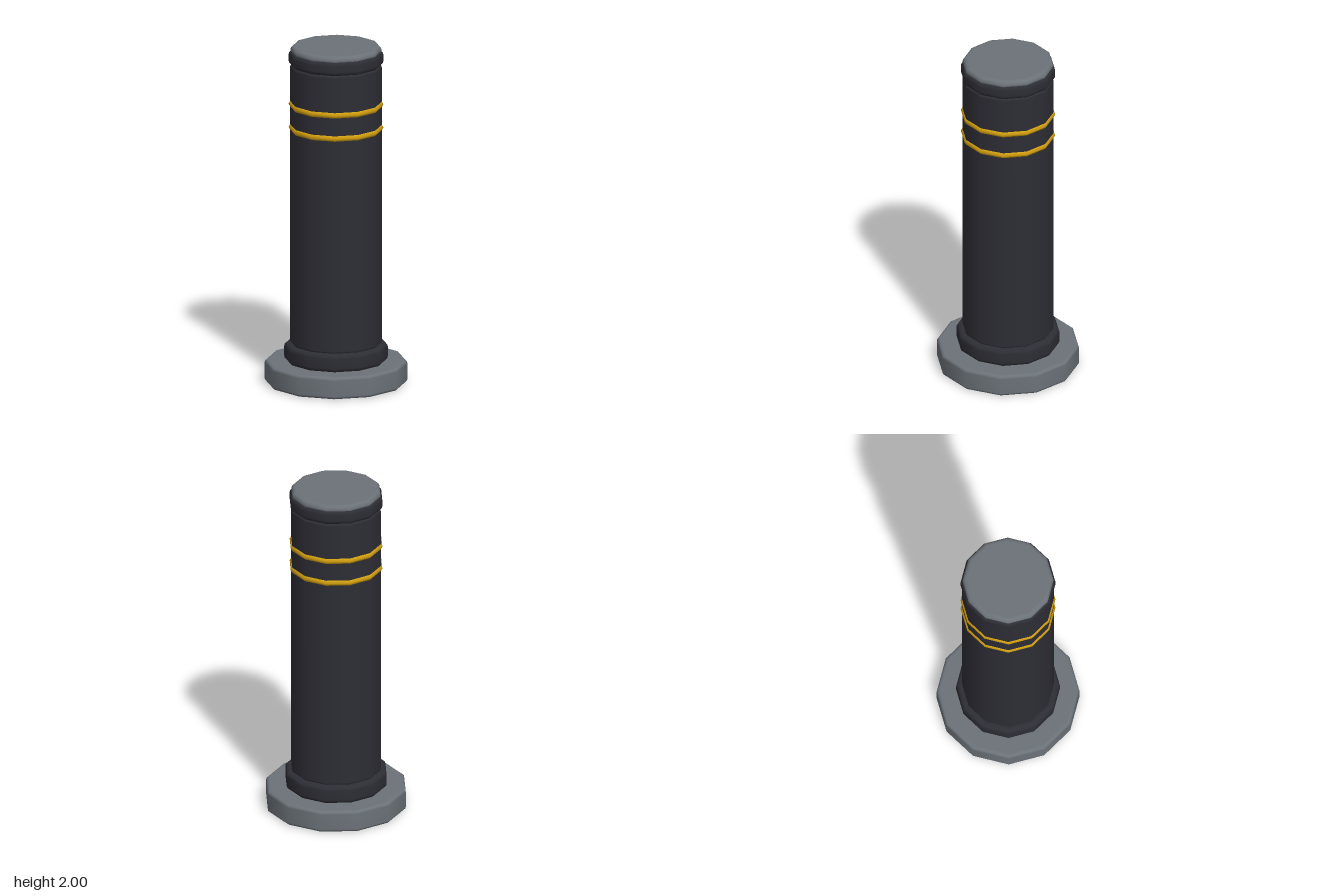
import * as THREE from 'three';

const SIDES = 12;

// Profile of a disc with rounded rims, closed at both ends
function roundedProfile(radius, y0, y1, bevel) {
  const points = [new THREE.Vector2(0, y0), new THREE.Vector2(radius - bevel * 1.3, y0)];
  const steps = 3;
  for (const [cy, start] of [[y0 + bevel, -Math.PI / 2], [y1 - bevel, 0]]) {
    for (let i = 0; i <= steps; i++) {
      const a = start + (i / steps) * Math.PI / 2;
      points.push(new THREE.Vector2(radius - bevel + bevel * Math.cos(a), cy + bevel * Math.sin(a)));
    }
  }
  points.push(new THREE.Vector2(radius - bevel * 1.3, y1), new THREE.Vector2(0, y1));
  return points;
}

export function createModel() {
  const group = new THREE.Group();
  group.name = 'bollard';

  const material = (name, color) => {
    const m = new THREE.MeshStandardMaterial({ color });
    m.name = name;
    return m;
  };
  const grey = material('steel grey', 0x6b7278);
  const dark = material('charcoal', 0x2d2d35);
  const yellow = material('warning yellow', 0xd4a010);

  const addLathe = (name, points, mat) => {
    const mesh = new THREE.Mesh(new THREE.LatheGeometry(points, SIDES), mat);
    mesh.name = name;
    group.add(mesh);
  };

  // Stacked rounded parts: foot, collar, post, top collar and cap
  addLathe('base', roundedProfile(0.411, 0, 0.13, 0.018), grey);
  addLathe('lowerCollar', roundedProfile(0.298, 0.128, 0.235, 0.025), dark);
  addLathe('post', roundedProfile(0.264, 0.23, 1.888, 0.015), dark);
  addLathe('upperCollar', roundedProfile(0.273, 1.886, 1.972, 0.025), dark);
  addLathe('cap', roundedProfile(0.262, 1.95, 2, 0.022), grey);

  // Thin raised bands with a ridged outer edge
  for (const [name, y] of [['lowerBand', 1.515], ['upperBand', 1.653]]) {
    const profile = [[0.25, -0.019], [0.264, -0.016], [0.273, 0], [0.264, 0.016], [0.25, 0.019]];
    addLathe(name, profile.map(([r, dy]) => new THREE.Vector2(r, y + dy)), yellow);
  }

  return group;
}
